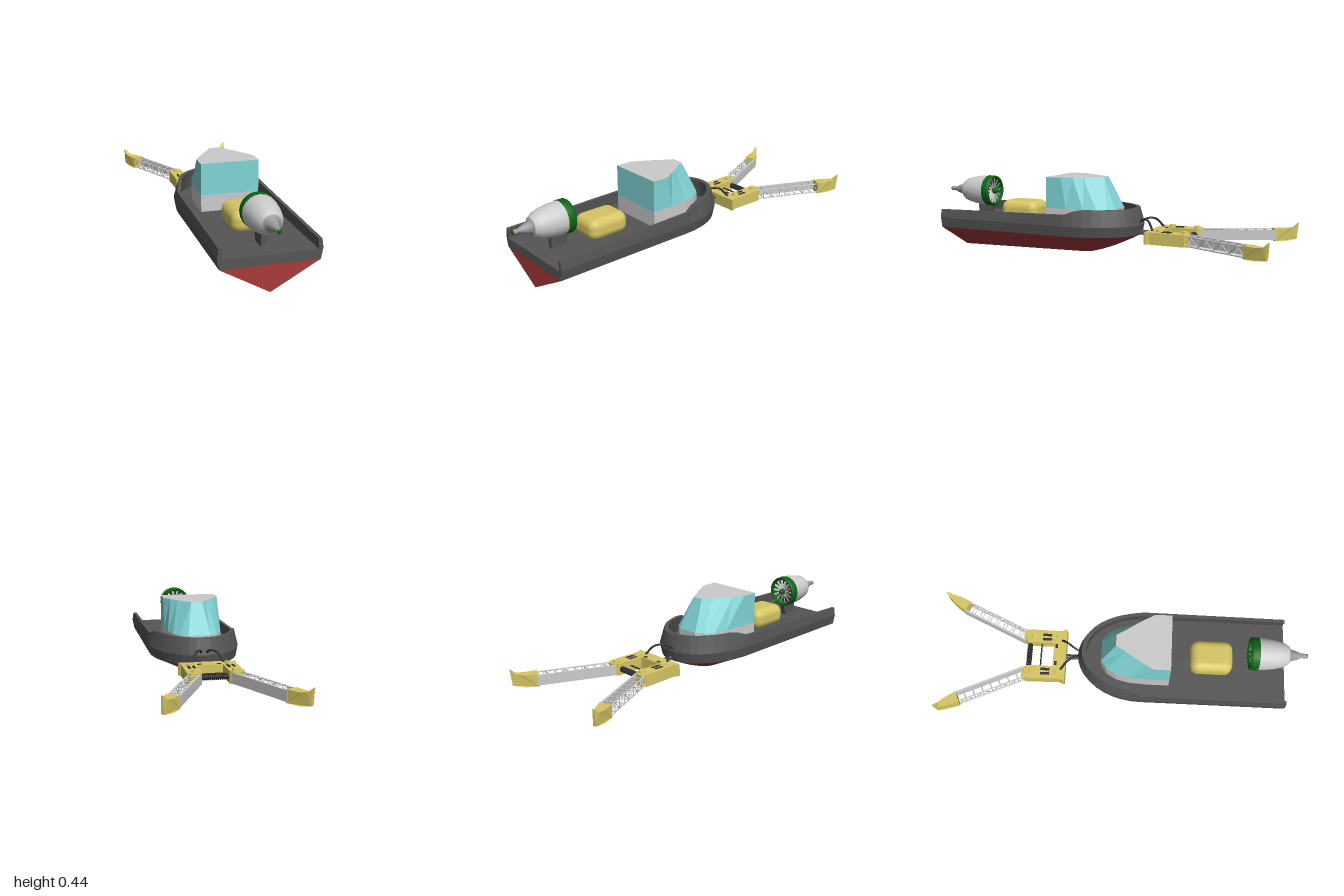
import * as THREE from 'three';
import { RoundedBoxGeometry } from 'three/addons/geometries/RoundedBoxGeometry.js';

const material = (color, flatShading = true) =>
  new THREE.MeshStandardMaterial({ color, flatShading, side: THREE.DoubleSide });
const V = (x, y, z) => new THREE.Vector3(x, y, z);

export function createModel() {
  const model = new THREE.Group();
  const dark = material(0x555555), red = material(0xa83a3a), teal = material(0x80d4d6);
  const yellow = material(0xd6c664), green = material(0x0a6414, false);
  const grey = material(0xcccccc), smoothGrey = material(0xcccccc, false), black = material(0x333333, false);

  const add = (parent, name, geometry, mat, x = 0, y = 0, z = 0) => {
    const mesh = new THREE.Mesh(geometry, mat);
    mesh.name = name;
    mesh.position.set(x, y, z);
    parent.add(mesh);
    return mesh;
  };
  const box = (parent, name, w, h, d, mat, x, y, z) =>
    add(parent, name, new THREE.BoxGeometry(w, h, d), mat, x, y, z);
  // Round bar between two points
  const bar = (parent, name, a, b, r, mat) => {
    const dir = b.clone().sub(a);
    const mesh = add(parent, name, new THREE.CylinderGeometry(r, r, dir.length(), 6), mat);
    mesh.position.copy(a).lerp(b, 0.5);
    mesh.quaternion.setFromUnitVectors(V(0, 1, 0), dir.normalize());
    return mesh;
  };
  // Faceted skin over rows of points
  const skin = (rows) => {
    const p = [];
    for (let i = 0; i + 1 < rows.length; i++) {
      for (let j = 0; j + 1 < rows[i].length; j++) {
        const a = rows[i][j], b = rows[i][j + 1], c = rows[i + 1][j + 1], d = rows[i + 1][j];
        for (const v of [a, b, c, a, c, d]) p.push(v.x, v.y, v.z);
      }
    }
    const g = new THREE.BufferGeometry();
    g.setAttribute('position', new THREE.Float32BufferAttribute(p, 3));
    g.computeVertexNormals();
    return g;
  };
  const shapeOf = (pts) => new THREE.Shape(pts.map(([x, y]) => new THREE.Vector2(x, y)));

  // Hull: outlines running from the left of the stern round the bow to the right
  const hull = new THREE.Group();
  hull.name = 'hull';
  model.add(hull);
  const raise = (z) => THREE.MathUtils.clamp((0.12 - z) / 0.07, 0, 1);
  const outline = (width, bow, height) => {
    const half = [0.9, 0.5, 0.14].map((z) => [1, z]);
    for (let i = 0; i <= 10; i++) {
      const a = (i / 10) * Math.PI / 2;
      half.push([Math.cos(a), 0.12 - (0.12 - bow) * Math.sin(a)]);
    }
    const left = half.map(([k, z]) => V(k * width(z), height(z), z));
    return left.concat(left.slice(0, -1).reverse().map((v) => V(-v.x, v.y, v.z)));
  };
  const rimY = (z) => THREE.MathUtils.lerp(0.235 + (0.9 - z) * 0.02, 0.277, raise(z));
  const chine = outline(() => 0.24, -0.22, () => 0.135);
  const bulge = outline(() => 0.25, -0.232, () => 0.19);
  const rim = outline((z) => 0.243 - 0.018 * raise(z), -0.208, rimY);
  const rimIn = outline((z) => 0.225 - 0.02 * raise(z), -0.185, rimY);
  const deckEdge = outline(() => 0.23, -0.19, () => 0.182);
  const keelY = (z) => z > 0.1 ? (0.9 - z) * 0.02
    : 0.016 + 0.119 * Math.pow(Math.min(1, (0.1 - z) / 0.32), 1.4);
  const keel = chine.map((v) => V(0, keelY(v.z), v.z));
  add(hull, 'hullBottom', skin([keel, chine]), red);
  add(hull, 'hullSidesAndBulwark', skin([chine, bulge, rim, rimIn, deckEdge]), dark);
  add(hull, 'deck', skin([deckEdge, deckEdge.map((v) => V(0, v.y, v.z))]), dark);
  const section = [chine, bulge, rim, rimIn, deckEdge].map((r) => [r[0].x, r[0].y]);
  const mirrored = section.map(([x, y]) => [-x, y]).reverse();
  add(hull, 'transom', new THREE.ShapeGeometry(shapeOf([...section, ...mirrored])), dark, 0, 0, 0.9);
  add(hull, 'lowerTransom', new THREE.ShapeGeometry(shapeOf([[0, 0], [0.24, 0.135], [-0.24, 0.135]])), red, 0, 0, 0.9);

  // Cabin: rounded foot lofted to a tapering roof
  const cabin = new THREE.Group();
  cabin.name = 'cabin';
  model.add(cabin);
  const foot = [[0.153, 0.27], [0.153, 0.15], [0.147, 0.05], [0.13, -0.02], [0.1, -0.07], [0.06, -0.1]];
  const roof = [[0.153, 0.27], [0.153, 0.18], [0.122, 0.125], [0.091, 0.075], [0.06, 0.03], [0.03, -0.02]];
  const ring = (half, y) => {
    const left = half.map(([x, z]) => V(x, y, z));
    const all = left.concat(left.slice().reverse().map((v) => V(-v.x, y, v.z)));
    return [...all, all[0]];
  };
  const roofRing = ring(roof, 0.437);
  add(cabin, 'cabinBase', skin([ring(foot, 0.18), ring(foot, 0.27)]), grey);
  add(cabin, 'cabinWindows', skin([ring(foot, 0.27), roofRing]), teal);
  add(cabin, 'cabinRoof', skin([roofRing, roofRing.map((v) => V(0, v.y, v.z))]), grey);

  // Storage tank on deck
  add(model, 'deckTank', new RoundedBoxGeometry(0.176, 0.115, 0.23, 3, 0.045), material(0xd6c664, false), 0, 0.229, 0.495);

  // Ducted fan at the stern, axis along z
  const fan = new THREE.Group();
  fan.name = 'fan';
  fan.position.set(0, 0.327, 0);
  model.add(fan);
  const turned = (name, pts, mat) => add(fan, name,
    new THREE.LatheGeometry(pts.map(([r, z]) => new THREE.Vector2(r, z)), 20).rotateX(Math.PI / 2), mat);
  turned('fanCasing', [[0.086, 0.73], [0.085, 0.77], [0.078, 0.82], [0.066, 0.87], [0.05, 0.895], [0.045, 0.9]], smoothGrey);
  turned('fanTail', [[0.045, 0.9], [0.03, 0.91], [0.026, 0.93], [0.019, 0.95], [0.012, 0.965], [0.012, 0.995]], material(0x999999, false));
  turned('fanInlet', [[0.072, 0.75], [0.072, 0.7], [0.078, 0.69], [0.085, 0.693], [0.088, 0.705], [0.088, 0.735], [0.083, 0.74]], green);
  turned('fanBackPlate', [[0, 0.735], [0.074, 0.735]], black);
  turned('fanHub', [[0, 0.675], [0.01, 0.68], [0.017, 0.69], [0.018, 0.735]], green);
  turned('fanTailCap', [[0.012, 0.995], [0.008, 1.0], [0, 1.0]], green);
  for (let i = 0; i < 14; i++) {
    const spoke = new THREE.Group();
    spoke.name = 'fanBlade';
    spoke.rotation.z = (i / 14) * Math.PI * 2;
    fan.add(spoke);
    box(spoke, 'blade', 0.056, 0.013, 0.003, grey, 0.043, 0, 0.708).rotation.x = 0.5;
  }
  const pylon = shapeOf([[-0.8, 0.18], [-0.72, 0.18], [-0.7, 0.25], [-0.8, 0.25]]);
  add(model, 'fanPylon', new THREE.ExtrudeGeometry(pylon, { depth: 0.028, bevelEnabled: false })
    .rotateY(Math.PI / 2), dark, -0.014, 0, 0);

  // Gripper base: a fork with two prongs
  const gripper = new THREE.Group();
  gripper.name = 'gripper';
  model.add(gripper);
  const fork = [[0.15, 0.3], [0.15, 0.315], [0.14, 0.325], [0.143, 0.52], [0.125, 0.54], [0.09, 0.54], [0.068, 0.515], [0.068, 0.37]];
  const forkShape = shapeOf([...fork, ...fork.map(([x, s]) => [-x, s]).reverse()]);
  add(gripper, 'gripperBase', new THREE.ExtrudeGeometry(forkShape, { depth: 0.063, bevelEnabled: false })
    .rotateX(-Math.PI / 2), yellow, 0, 0.111, 0);
  bar(gripper, 'couplingRod', V(0, 0.148, -0.2), V(0, 0.148, -0.31), 0.014, dark);
  bar(gripper, 'crossRod', V(-0.07, 0.145, -0.44), V(0.07, 0.145, -0.44), 0.004, black);
  bar(gripper, 'springCore', V(-0.07, 0.145, -0.505), V(0.07, 0.145, -0.505), 0.008, black);
  for (let i = 0; i < 14; i++) {
    add(gripper, 'springCoil', new THREE.TorusGeometry(0.013, 0.003, 5, 10).rotateY(Math.PI / 2), black, -0.062 + i * 0.0095, 0.145, -0.505);
  }

  for (const side of [1, -1]) {
    // Hose, slots and bolts on each prong
    const hose = new THREE.CatmullRomCurve3([V(0.012 * side, 0.195, -0.21), V(0.025 * side, 0.222, -0.25),
      V(0.055 * side, 0.218, -0.29), V(0.085 * side, 0.172, -0.325)]);
    add(gripper, 'hose', new THREE.TubeGeometry(hose, 14, 0.006, 6), black);
    for (const x of [0.088, 0.113]) box(gripper, 'slot', 0.014, 0.004, 0.05, black, x * side, 0.174, -0.41);
    box(gripper, 'socket', 0.022, 0.004, 0.014, black, 0.05 * side, 0.174, -0.355);
    for (const [x, z] of [[0.1, -0.51], [0.1, -0.37]]) {
      add(gripper, 'bolt', new THREE.CylinderGeometry(0.017, 0.02, 0.014, 10), yellow, x * side, 0.179, z);
    }

    // Arm: solid inner plate, outer truss, hooked claw
    const arm = new THREE.Group();
    arm.name = side > 0 ? 'leftArm' : 'rightArm';
    arm.position.set(0.105 * side, 0, -0.52);
    arm.rotation.y = -0.43 * side;
    gripper.add(arm);
    const xIn = -0.028 * side, xOut = 0.026 * side, yLow = 0.119, yHigh = 0.167;
    box(arm, 'armPlate', 0.01, 0.054, 0.4, grey, xIn, 0.143, -0.2);
    for (const y of [yLow, yHigh]) {
      bar(arm, 'armRail', V(xOut, y, 0), V(xOut, y, -0.4), 0.004, grey);
    }
    const bays = 8;
    for (let i = 0; i <= bays; i++) {
      const z = -0.4 * i / bays, next = z - 0.4 / bays;
      bar(arm, 'trussPost', V(xOut, yLow, z), V(xOut, yHigh, z), 0.0025, grey);
      for (const y of [yLow, yHigh]) bar(arm, 'trussRung', V(xIn, y, z), V(xOut, y, z), 0.0025, grey);
      if (i < bays) {
        const up = i % 2 === 0;
        bar(arm, 'trussBrace', V(xOut, up ? yLow : yHigh, z), V(xOut, up ? yHigh : yLow, next), 0.0025, grey);
      }
    }
    const claw = new THREE.ExtrudeGeometry(
      shapeOf([[0, 0.11], [0.07, 0.11], [0.125, 0.118], [0.136, 0.205], [0.125, 0.195], [0.108, 0.178], [0.07, 0.174], [0, 0.174]]),
      { depth: 0.064, bevelEnabled: false }).rotateY(Math.PI / 2).translate(-0.032, 0, 0);
    const p = claw.attributes.position;
    for (let i = 0; i < p.count; i++) {
      const t = -p.getZ(i) / 0.136;
      p.setX(i, p.getX(i) * (1 - 0.88 * t * t) + 0.01 * side * t);
    }
    claw.computeVertexNormals();
    add(arm, 'claw', claw, yellow, 0, 0, -0.39);
  }
  return model;
}
